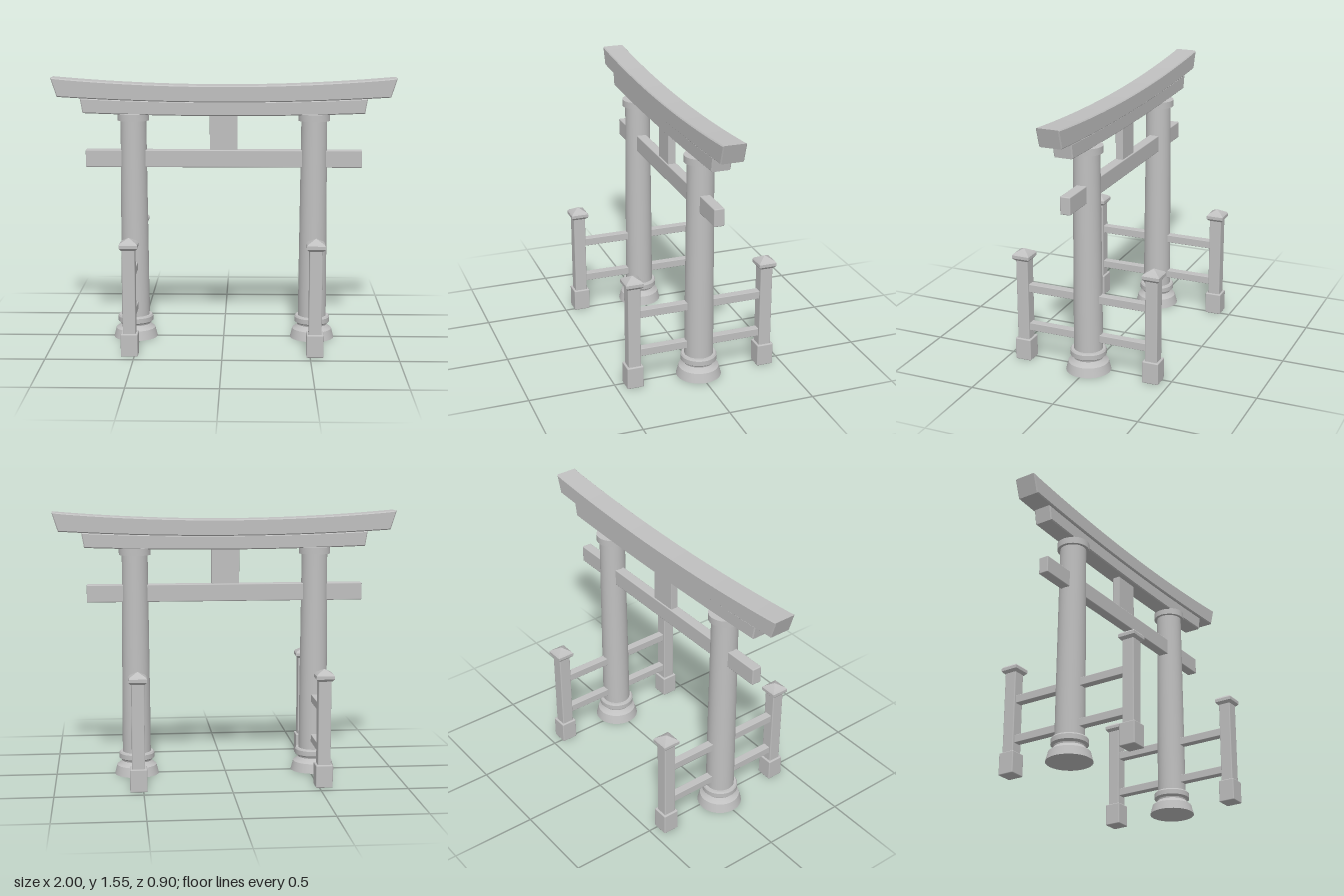
import * as THREE from 'three';
import { toCreasedNormals } from 'three/addons/utils/BufferGeometryUtils.js';
import { RoundedBoxGeometry } from 'three/addons/geometries/RoundedBoxGeometry.js';

const stone = new THREE.MeshStandardMaterial({ color: 0xc0c0c0 });
stone.name = 'stone grey';

const COLUMN_X = 0.527;
const POST_Z = 0.397;

function add(parent, name, geometry, x = 0, y = 0, z = 0) {
  const mesh = new THREE.Mesh(geometry, stone);
  mesh.name = name;
  mesh.position.set(x, y, z);
  parent.add(mesh);
  return mesh;
}

// Softly bevelled block standing on height y0
function block(parent, name, w, y0, y1, d, x = 0, z = 0, r = 0.006) {
  return add(parent, name, new RoundedBoxGeometry(w, y1 - y0, d, 2, r), x, (y0 + y1) / 2, z);
}

// Turned solid; profile is [radius, height] from bottom to top
function turned(profile, sides) {
  const points = profile.map(([r, y]) => new THREE.Vector2(r, y));
  return toCreasedNormals(new THREE.LatheGeometry(points, sides).toNonIndexed(), 0.4);
}

// Beam that sweeps up towards its slanted ends
function curvedBeam({ bottomX, bottomY, bottomRise, topX, topY, topRise, depth }) {
  const steps = 32, bevel = 0.006;
  const points = [];
  for (let i = 0; i <= steps; i++) {
    const t = (i / steps) * 2 - 1;
    points.push(new THREE.Vector2(t * bottomX, bottomY + bottomRise * t * t));
  }
  for (let i = 0; i <= steps; i++) {
    const t = 1 - (i / steps) * 2;
    points.push(new THREE.Vector2(t * topX, topY + topRise * t * t));
  }
  const geometry = new THREE.ExtrudeGeometry(new THREE.Shape(points), {
    depth: depth - 2 * bevel, bevelEnabled: true, bevelThickness: bevel,
    bevelSize: bevel, bevelOffset: -bevel, bevelSegments: 1,
  });
  geometry.translate(0, 0, -depth / 2 + bevel);
  return toCreasedNormals(geometry, 0.4);
}

export function createModel() {
  const gate = new THREE.Group();
  gate.name = 'gate';

  // Roof beams
  add(gate, 'upperLintel', curvedBeam({
    bottomX: 0.965, bottomY: 1.41, bottomRise: 0.03,
    topX: 1, topY: 1.505, topRise: 0.045, depth: 0.132,
  }));
  add(gate, 'lowerLintel', curvedBeam({
    bottomX: 0.818, bottomY: 1.33, bottomRise: 0.015,
    topX: 0.833, topY: 1.412, topRise: 0.02, depth: 0.11,
  }));

  // Tie beam and the strut above it
  block(gate, 'tieBeam', 1.614, 1.026, 1.128, 0.06);
  block(gate, 'centreStrut', 0.162, 1.12, 1.345, 0.045, 0, 0, 0.003);

  // Shared shapes
  const columnGeometry = turned([
    [0, 0], [0.13, 0], [0.116, 0.054], [0.108, 0.06], [0.096, 0.07], [0.088, 0.08],
    [0.09, 0.088], [0.104, 0.098], [0.104, 0.126], [0.098, 0.135], [0.083, 0.135],
    [0.082, 0.4], [0.075, 1.3], [0.092, 1.3], [0.092, 1.34], [0, 1.34],
  ], 40);
  const capGeometry = turned(
    [[0, 0.614], [0.04, 0.614], [0.052, 0.628], [0.052, 0.646], [0.044, 0.656], [0, 0.681]]
      .map(([half, y]) => [half * Math.SQRT2, y]), 4);
  capGeometry.rotateY(Math.PI / 4);

  for (const sx of [-1, 1]) {
    const side = new THREE.Group();
    side.name = sx > 0 ? 'leftSupport' : 'rightSupport';
    side.position.x = sx * COLUMN_X;
    gate.add(side);
    add(side, 'column', columnGeometry);

    for (const sz of [-1, 1]) {
      const post = new THREE.Group();
      post.name = sz > 0 ? 'frontPost' : 'backPost';
      post.position.z = sz * POST_Z;
      side.add(post);
      block(post, 'postFoot', 0.097, 0, 0.131, 0.097);
      block(post, 'postShaft', 0.073, 0.12, 0.625, 0.073);
      add(post, 'postCap', capGeometry);

      // Rails run from the column into the post
      for (const [y0, y1] of [[0.184, 0.23], [0.423, 0.47]]) {
        block(side, 'rail', 0.046, y0, y1, 0.33, 0, sz * 0.215, 0.003);
      }
    }
  }
  return gate;
}
